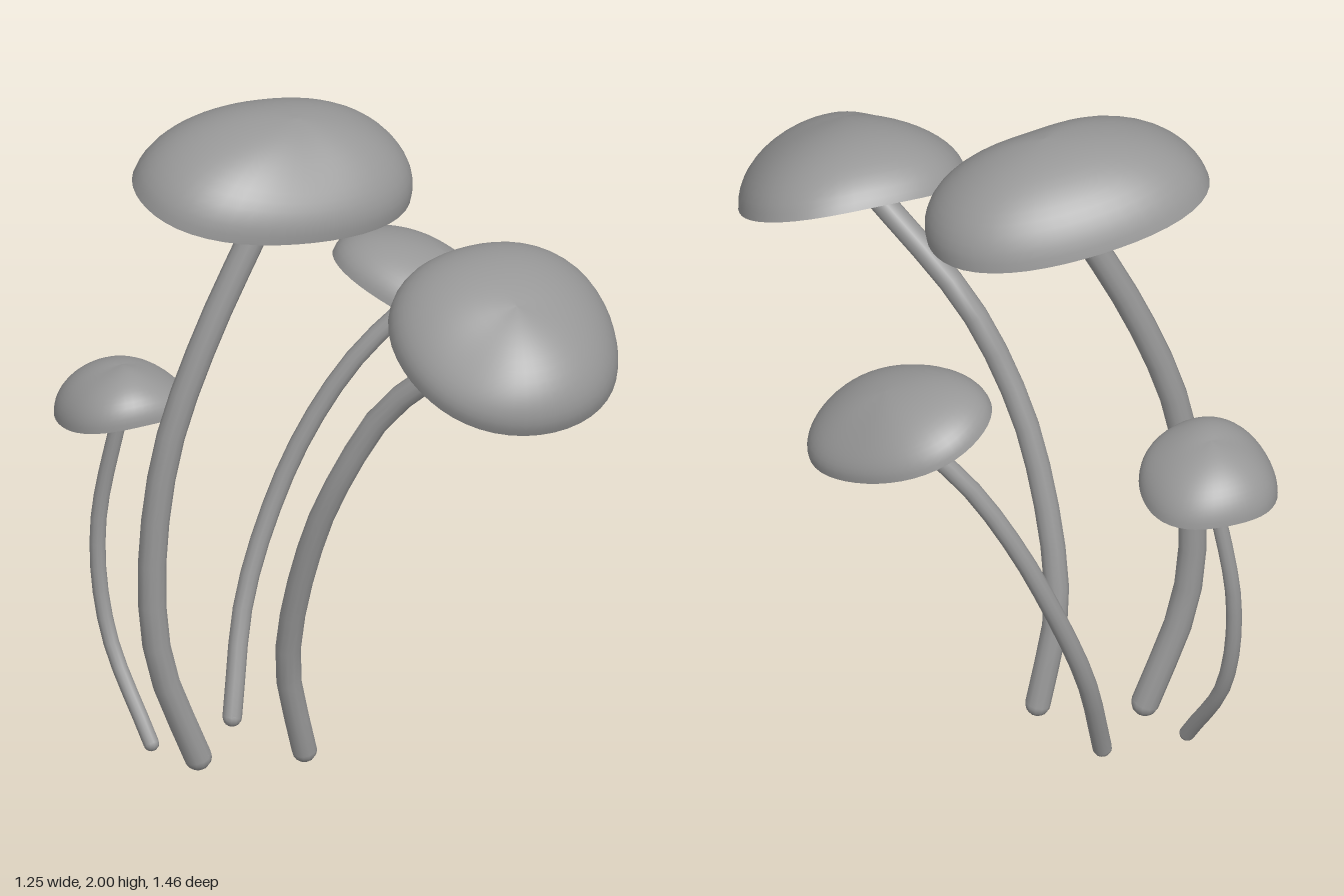
import * as THREE from 'three';

const material = new THREE.MeshStandardMaterial({ color: 0x989898, side: THREE.DoubleSide });
const SEGMENTS = 48;
const DOME_RINGS = 14;
const vec = (p) => new THREE.Vector3(...p);

// Skin a list of closed rings of equal length
function loft(rings) {
  const n = rings[0].length;
  const index = [];
  for (let j = 0; j < rings.length - 1; j++) {
    for (let i = 0; i < n; i++) {
      const a = j * n + i, b = j * n + (i + 1) % n;
      index.push(a, b + n, a + n, a, b, b + n);
    }
  }
  const geometry = new THREE.BufferGeometry().setFromPoints(rings.flat());
  geometry.setIndex(index);
  geometry.computeVertexNormals();
  return geometry;
}

// Cap edge: a turned, slightly squared ellipse with an optional three-lobe swell, lying on a slope
function capRim({ centre, radii, turn = 0, lobe = 0, square, slope, curl = 0 }) {
  return Array.from({ length: SEGMENTS }, (_, i) => {
    const t = i / SEGMENTS * Math.PI * 2;
    const swell = 1 - lobe * Math.sin(3 * t) + square * (1 - Math.cos(4 * t));
    const u = radii[0] * Math.cos(t) * swell;
    const v = radii[1] * Math.sin(t) * swell;
    const x = u * Math.cos(turn) - v * Math.sin(turn);
    const z = u * Math.sin(turn) + v * Math.cos(turn);
    const y = slope[0] * x + slope[1] * z + curl * Math.cos(2 * t);
    return new THREE.Vector3(x, y, z).add(vec(centre));
  });
}

function addMesh(group, name, geometry) {
  const mesh = new THREE.Mesh(geometry, material);
  mesh.name = name;
  group.add(mesh);
  return mesh;
}

function makeMushroom(name, radius, stem, cap) {
  const group = new THREE.Group();
  group.name = name;

  // Bent stem with a rounded foot
  const path = new THREE.CatmullRomCurve3(stem.map(vec));
  addMesh(group, 'stem', new THREE.TubeGeometry(path, 14, radius, 12));
  const foot = addMesh(group, 'stemFoot', new THREE.SphereGeometry(radius, 12, 8));
  foot.position.copy(path.getPoint(0));

  // Domed cap top with a shallow valley running down one side
  const edge = capRim(cap);
  const middle = vec(cap.centre);
  const axis = vec(cap.apex).sub(middle);
  const dome = [];
  for (let j = 0; j <= DOME_RINGS; j++) {
    const a = j / DOME_RINGS * Math.PI / 2;
    dome.push(edge.map((p, i) => {
      const valley = Math.exp(4 * (Math.cos(i / SEGMENTS * Math.PI * 2 - cap.valley) - 1));
      const height = Math.cos(a) - 0.1 * valley * Math.sin(2 * a) ** 2;
      return p.clone().sub(middle).multiplyScalar(Math.sin(a)).addScaledVector(axis, height).add(middle);
    }));
  }
  addMesh(group, 'capTop', loft(dome));

  // Hollow underside flaring into the stem: [share of rim radius, lift]
  const top = path.getPoint(1), along = path.getTangent(1);
  const profile = [[1, 0], [0.85, 0.12], [0.65, 0.2], [0.45, 0.2], [0.3, 0.13], [0.19, -0.02], [0.13, -0.2], [0.09, -0.45]];
  const under = profile.map(([share, lift]) => edge.map((p) => {
    const q = top.clone().lerp(p, share);
    return lift > 0 ? q.addScaledVector(axis, lift) : q.addScaledVector(along, lift * axis.length());
  }));
  addMesh(group, 'capUnderside', loft(under));
  return group;
}

export function createModel() {
  const model = new THREE.Group();
  model.name = 'mushroomCluster';

  // Tallest, with the widest cap
  model.add(makeMushroom('tallMushroom', 0.039,
    [[-0.37, 0.04, -0.21], [-0.48, 0.35, -0.217], [-0.505, 0.62, -0.22], [-0.465, 1, -0.215], [-0.36, 1.32, -0.205], [-0.14, 1.78, -0.195]],
    { centre: [-0.145, 1.765, -0.215], radii: [0.395, 0.273], square: 0.02, slope: [-0.125, -0.13], apex: [-0.09, 1.99, -0.175], valley: 1.5 }));

  // Leaning forward, cap tipped to the front
  model.add(makeMushroom('frontMushroom', 0.035,
    [[-0.09, 0.04, -0.12], [-0.155, 0.35, -0.09], [-0.13, 0.78, 0.02], [-0.07, 1.02, 0.1], [0.02, 1.23, 0.18], [0.23, 1.52, 0.41]],
    { centre: [0.27, 1.495, 0.415], radii: [0.313, 0.292], lobe: 0.035, square: 0.015, slope: [0, -0.46], curl: -0.012, apex: [0.25, 1.67, 0.52], valley: 2.7 }));

  // Leaning sideways, with an oblong cap
  model.add(makeMushroom('sideMushroom', 0.027,
    [[-0.19, 0.04, -0.37], [-0.11, 0.35, -0.46], [0, 0.64, -0.485], [0.1, 0.86, -0.465], [0.22, 1.06, -0.42], [0.4, 1.26, -0.35]],
    { centre: [0.39, 1.24, -0.355], radii: [0.265, 0.205], turn: 0.96, square: 0.015, slope: [-0.41, -0.1], apex: [0.43, 1.372, -0.34], valley: 5 }));

  // Smallest, at the back
  model.add(makeMushroom('smallMushroom', 0.022,
    [[-0.44, 0.022, -0.36], [-0.49, 0.3, -0.53], [-0.5, 0.6, -0.575], [-0.445, 1, -0.535]],
    { centre: [-0.44, 0.985, -0.535], radii: [0.187, 0.187], square: 0.02, slope: [0, 0.15], curl: -0.015, apex: [-0.45, 1.127, -0.53], valley: 0.8 }));
  return model;
}
